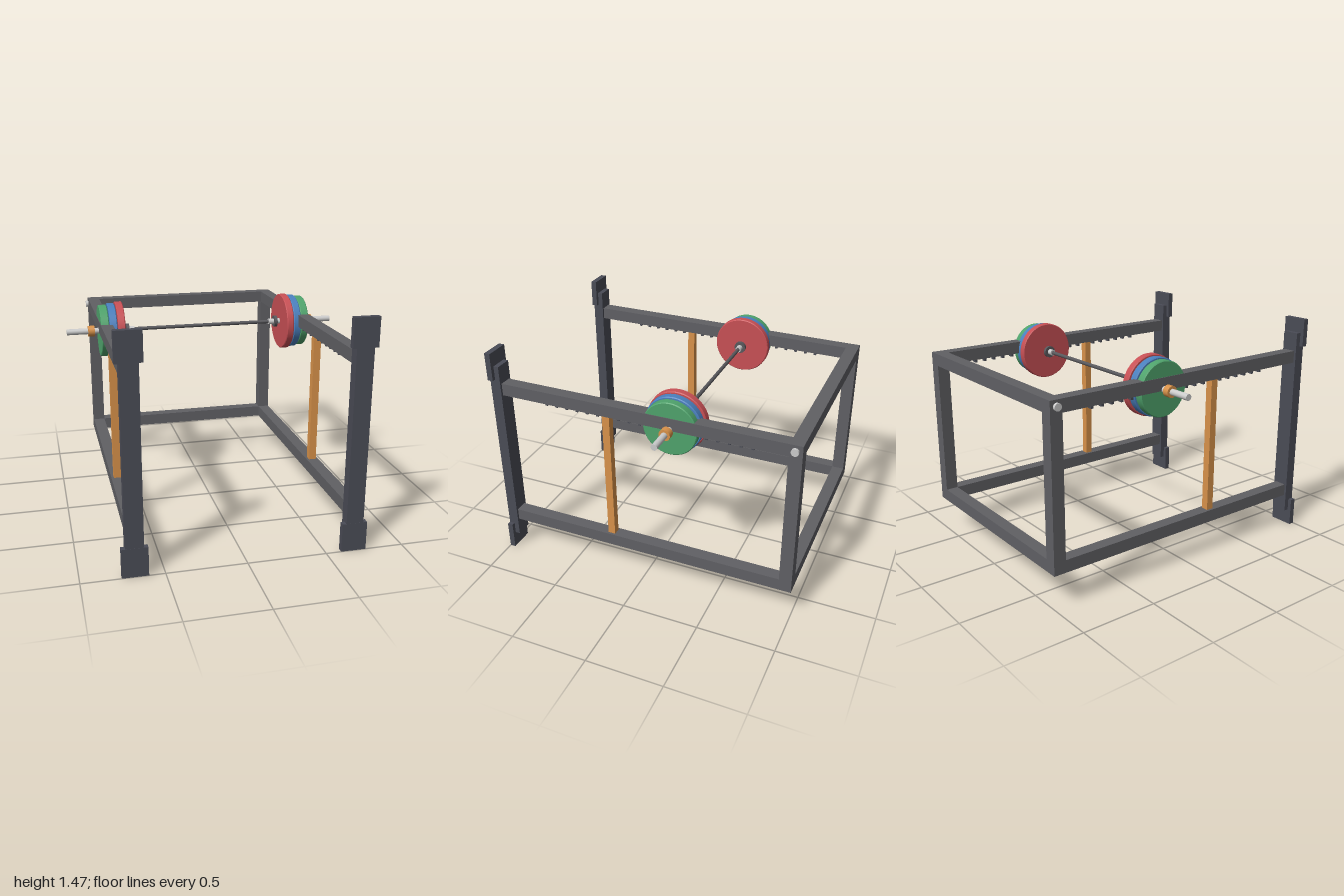
import * as THREE from 'three';

const mat = (color) => new THREE.MeshStandardMaterial({ color });

export function createModel() {
  const model = new THREE.Group();
  const frameMat = mat(0x606064), postMat = mat(0x4a4c56), orange = mat(0xd8924a);
  const silver = mat(0xcccccc), steel = mat(0x58585c);
  const SIDE = 0.678, BEAM = 0.08;
  const BAR_Y = 1.187, BAR_Z = -0.205;

  // Box given by its min and max on each axis
  function box(parent, name, material, [x0, x1], [y0, y1], [z0, z1]) {
    const m = new THREE.Mesh(new THREE.BoxGeometry(x1 - x0, y1 - y0, z1 - z0), material);
    m.position.set((x0 + x1) / 2, (y0 + y1) / 2, (z0 + z1) / 2);
    m.name = name;
    parent.add(m);
  }

  // Cylinder lying along x
  function rod(parent, name, material, r, x0, x1, y, z) {
    const g = new THREE.CylinderGeometry(r, r, Math.abs(x1 - x0), 32).rotateZ(Math.PI / 2);
    const m = new THREE.Mesh(g, material);
    m.position.set((x0 + x1) / 2, y, z);
    m.name = name;
    parent.add(m);
  }

  // Weight plate: chamfered disc lying along x
  function plate(parent, name, color, r, x0, x1) {
    const h = (x1 - x0) / 2, c = 0.005;
    const pts = [
      [0, -h], [r - c, -h], [r - c, -h], [r, -h + c], [r, -h + c],
      [r, h - c], [r, h - c], [r - c, h], [r - c, h], [0, h],
    ].map(([a, b]) => new THREE.Vector2(a, b));
    const m = new THREE.Mesh(new THREE.LatheGeometry(pts, 64).rotateZ(Math.PI / 2), mat(color));
    m.position.set((x0 + x1) / 2, 0, 0);
    m.name = name;
    parent.add(m);
  }

  const span = (c, w) => [c - w / 2, c + w / 2];

  const frame = new THREE.Group();
  frame.name = 'frame';
  model.add(frame);

  for (const s of [-1, 1]) {
    const x = s * SIDE;
    const side = new THREE.Group();
    side.name = s > 0 ? 'leftSide' : 'rightSide';
    frame.add(side);

    // Front upright with its end pads
    box(side, 'frontPost', postMat, span(x, 0.11), [0.105, 1.38], [0.93, 0.999]);
    box(side, 'footPad', postMat, span(x, 0.16), [0, 0.185], [0.963, 1]);
    box(side, 'topPad', postMat, span(x, 0.16), [1.29, 1.472], [0.963, 1]);

    // Long rails, rear post and orange strut
    box(side, 'upperRail', frameMat, span(x, BEAM), [1.18, 1.26], [-0.92, 0.93]);
    box(side, 'lowerRail', frameMat, span(x, BEAM), [0.22, 0.3], [-0.92, 0.93]);
    box(side, 'rearPost', frameMat, span(x, BEAM), [0.22, 1.26], [-1, -0.92]);
    box(side, 'strut', orange, span(x, 0.048), [0.3, 1.18], span(0.22, 0.048));

    // Row of pegs under the upper rail
    for (let i = 0; i < 20; i++) {
      box(side, 'peg', postMat, span(x, 0.03), [1.156, 1.185], span(0.633 - i * 0.0705, 0.016));
    }

    // Rear corner bolt
    rod(side, 'cornerBolt', silver, 0.023, s * 0.7, s * 0.735, 1.22, -0.957);
  }

  // Rear cross beams
  const inner = SIDE - BEAM / 2;
  box(frame, 'upperCrossBeam', frameMat, [-inner, inner], [1.18, 1.26], [-1, -0.92]);
  box(frame, 'lowerCrossBeam', frameMat, [-inner, inner], [0.22, 0.3], [-1, -0.92]);

  // Loaded bar
  const barbell = new THREE.Group();
  barbell.name = 'barbell';
  barbell.position.set(0, BAR_Y, BAR_Z);
  model.add(barbell);
  rod(barbell, 'barShaft', steel, 0.012, -0.49, 0.49, 0, 0);
  for (const s of [-1, 1]) {
    const end = new THREE.Group();
    end.name = s > 0 ? 'leftLoad' : 'rightLoad';
    if (s < 0) end.rotation.y = Math.PI;
    barbell.add(end);
    rod(end, 'sleeve', silver, 0.02, 0.476, 0.93, 0, 0);
    rod(end, 'innerCollar', steel, 0.039, 0.513, 0.534, 0, 0);
    plate(end, 'redPlate', 0xc85055, 0.19, 0.556, 0.604);
    plate(end, 'bluePlate', 0x4a80be, 0.181, 0.608, 0.657);
    plate(end, 'greenPlate', 0x4fa36c, 0.172, 0.661, 0.714);
    rod(end, 'clamp', orange, 0.036, 0.746, 0.789, 0, 0);
  }

  return model;
}
